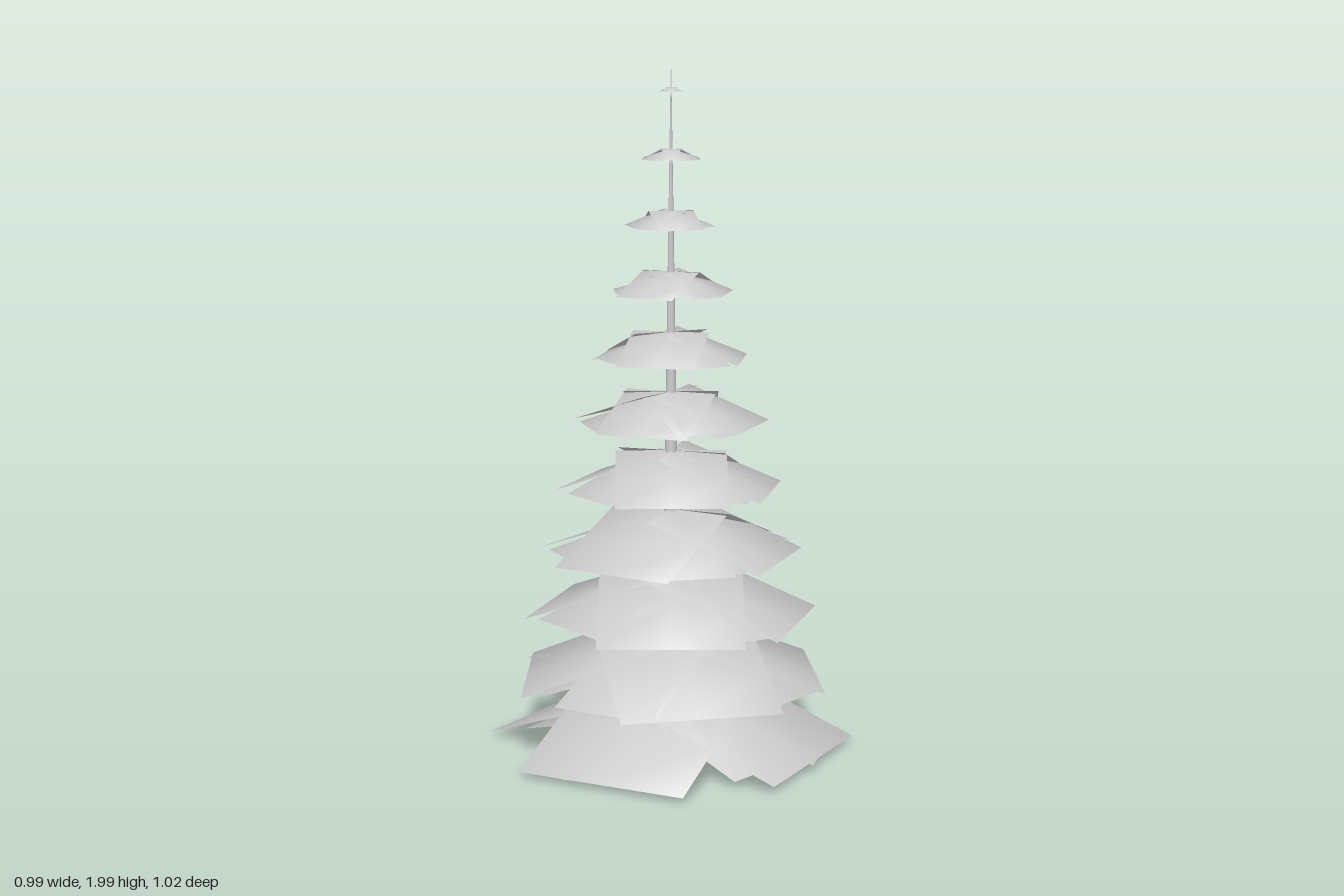
import * as THREE from 'three';

const AXIS_Z = 0.016;

// Facing angles (degrees from +x towards +z) of the four broad boughs, lowest tier first
const BROAD_ANGLES = [
  [1, 87, 185, 255],
  [50, 153, 245, -33],
  [62, 170, 242, 350],
  [-6, 92, 186, 265],
  [61, 175, 258, 345],
  [-5, 82, 190, 242],
  [75, 165, 218, 340],
  [90, 172, 262, 345],
  [48, 135, 232, 318],
  [15, 108, 195, 290],
  [60, 148, 241, 330],
];
// Narrow boughs showing between the broad ones on the lowest tier
const LOW_FILL = [-13, 80, 213, 276];

// Small seeded generator, returns 0..1
function makeRandom(seed) {
  let s = seed;
  return () => {
    s = (s * 16807) % 2147483647;
    return s / 2147483647;
  };
}

// A flat rectangular bough sloping from the trunk, with softly rounded shading
function boughGeometry(length, width, start, end) {
  const geo = new THREE.PlaneGeometry(width, length, 2, 2);
  geo.rotateX(-Math.PI / 2);
  geo.rotateY(Math.PI / 2);
  geo.translate(length / 2, 0, 0);
  const pos = geo.attributes.position;
  const nor = geo.attributes.normal;
  const n = new THREE.Vector3();
  for (let i = 0; i < pos.count; i++) {
    const x = pos.getX(i);
    const z = pos.getZ(i);
    pos.setY(i, -THREE.MathUtils.lerp(start, end, x / length));
    n.set(x, length * 0.9, z).normalize();
    nor.setXYZ(i, n.x, n.y, n.z);
  }
  return geo;
}

export function createModel() {
  const model = new THREE.Group();
  model.name = 'tieredTree';
  const foliage = new THREE.MeshStandardMaterial({ color: 0xcccccc, side: THREE.DoubleSide });
  foliage.name = 'lightGrey';
  const random = makeRandom(4217);

  // Tapering trunk
  const trunk = new THREE.Mesh(new THREE.CylinderGeometry(0.001, 0.03, 1.93, 12), foliage);
  trunk.name = 'trunk';
  trunk.position.set(0, 1.035, AXIS_Z);
  model.add(trunk);

  // Tiers of overlapping boughs, shrinking upwards
  BROAD_ANGLES.forEach((angles, t) => {
    const tier = new THREE.Group();
    tier.name = `tier${t + 1}`;
    tier.position.set(0, 0.193 + t * 0.1757, AXIS_Z);
    const reach = 0.475 - t * 0.0443;
    const lowest = t === 0;

    // start and end are the heights lost at the trunk and at the tip, relative to reach
    const addBough = (name, angle, length, width, start, end) => {
      const geo = boughGeometry(reach * length, reach * width, reach * start, reach * end);
      const bough = new THREE.Mesh(geo, foliage);
      bough.name = name;
      bough.rotation.y = -THREE.MathUtils.degToRad(angle);
      tier.add(bough);
    };

    angles.forEach((angle, k) => {
      // Broad boughs on top
      const steep = lowest && k === 3 ? 0.395 : 0.355 + random() * 0.02;
      addBough('broadBough', angle, 1, 1.09, 0, steep);

      // Narrower boughs tucked into the gaps
      const fill = lowest ? LOW_FILL[k] : angle + 30 + random() * 30;
      addBough('narrowBough', fill, 0.99, 0.73, 0.03 + random() * 0.12, 0.32 + random() * 0.06);

      // Flatter boughs filling the underside, kept higher on the lowest tier
      const start = (lowest ? 0.04 : 0.15) + random() * 0.14;
      addBough('lowerBough', angle + random() * 24 - 4, 0.86, 0.8, start, 0.33 + random() * 0.08);
    });
    model.add(tier);
  });
  return model;
}
